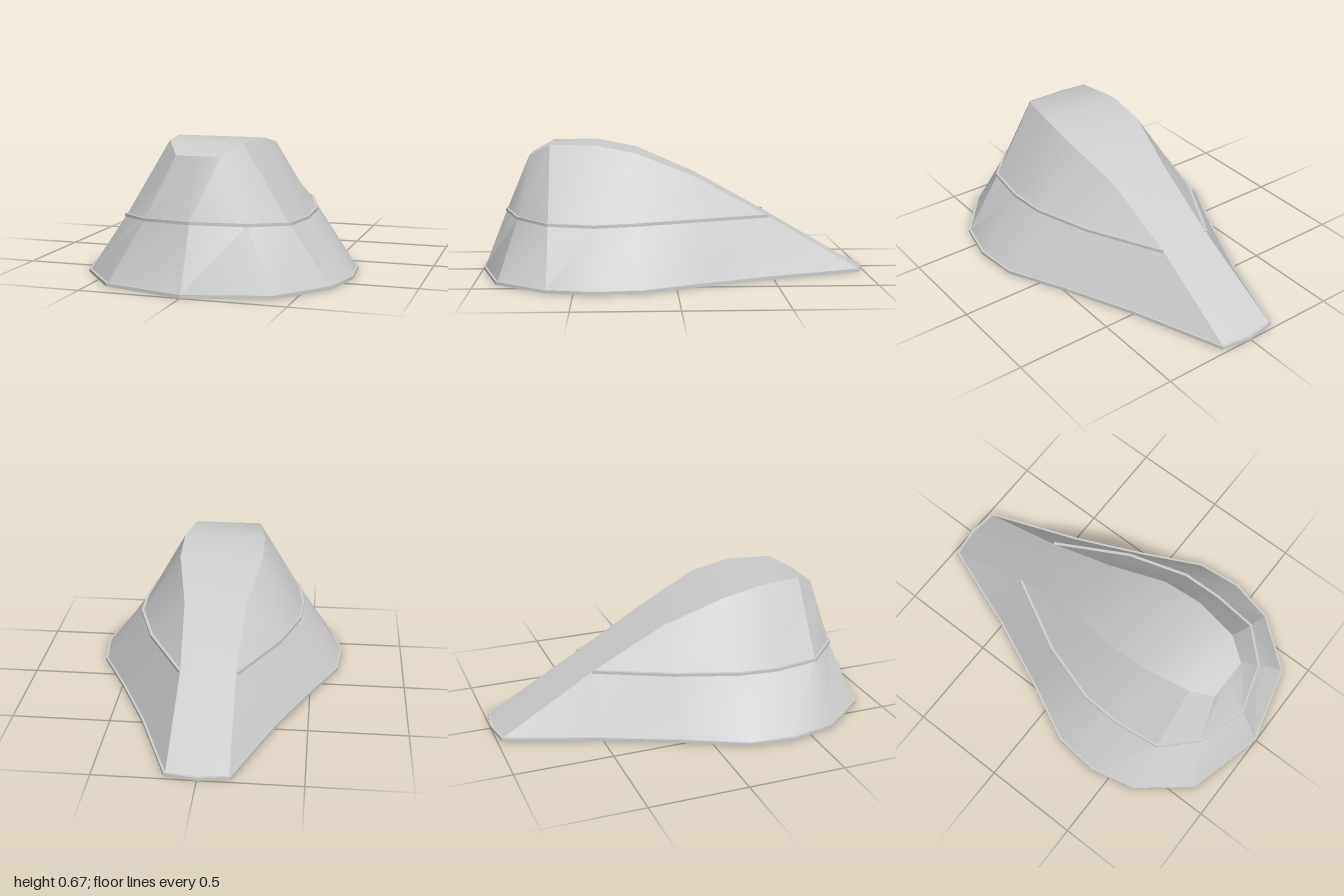
import * as THREE from 'three';
import { toCreasedNormals } from 'three/addons/utils/BufferGeometryUtils.js';

const material = new THREE.MeshStandardMaterial({ color: 0xcccccc, side: THREE.DoubleSide });
const V = (p) => new THREE.Vector3(...p);

// Half profiles [x, y, z], running from the tail to the middle of the front
const ridge = [
  [0.15, 0.012, -0.972], [0.138, 0.295, -0.49], [0.16, 0.5, -0.12], [0.22, 0.63, 0.19],
  [0.22, 0.672, 0.4], [0.18, 0.672, 0.63], [0.11, 0.613, 0.74], [0, 0.613, 0.74],
].map(V);
const seam = [
  [0.15, 0.012, -0.972], [0.138, 0.295, -0.49], [0.335, 0.303, -0.12], [0.43, 0.298, 0.19],
  [0.437, 0.29, 0.4], [0.41, 0.297, 0.63], [0.252, 0.31, 0.79], [0, 0.32, 0.868],
].map(V);
const foot = [
  [0.15, 0.012, -0.972], [0.325, 0.012, -0.5], [0.49, 0.012, -0.13], [0.638, 0.012, 0.17],
  [0.66, 0.012, 0.4], [0.607, 0.012, 0.63], [0.405, 0.012, 0.882], [0, 0.012, 0.99],
].map(V);

const flip = (v) => new THREE.Vector3(-v.x, v.y, v.z);
// Whole path: down the left side, round the front, back up the right side
const around = (half) => [...half, ...half.slice(0, -1).reverse().map(flip)];

// Surface stretched between matching points of neighbouring paths
function skin(...paths) {
  const pos = [];
  const tri = (a, b, c) => {
    if (new THREE.Triangle(a, b, c).getArea() > 1e-7) for (const v of [a, b, c]) pos.push(v.x, v.y, v.z);
  };
  for (let k = 0; k < paths.length - 1; k++) {
    const P = paths[k], Q = paths[k + 1];
    for (let i = 0; i < P.length - 1; i++) {
      tri(P[i], P[i + 1], Q[i + 1]);
      tri(P[i], Q[i + 1], Q[i]);
    }
  }
  const geo = new THREE.BufferGeometry();
  geo.setAttribute('position', new THREE.Float32BufferAttribute(pos, 3));
  return toCreasedNormals(geo, 0.5);
}

// Thin square bead following a path; inner/outer are sideways offsets, low/high are heights
function bead(path, closed, inner, outer, low, high) {
  const n = path.length;
  const at = (i) => path[closed ? (i + n) % n : Math.min(Math.max(i, 0), n - 1)];
  const offset = (o, y) => {
    const line = path.map((p, i) => {
      const t = at(i + 1).clone().sub(at(i - 1)).setY(0).normalize();
      return new THREE.Vector3(p.x + t.z * o, p.y + y, p.z - t.x * o);
    });
    if (closed) line.push(line[0]);
    return line;
  };
  const top = offset(inner, high);
  return skin(top, offset(outer, high), offset(outer, low), offset(inner, low), top);
}

export function createModel() {
  const group = new THREE.Group();
  const add = (name, geometry) => {
    const mesh = new THREE.Mesh(geometry, material);
    mesh.name = name;
    group.add(mesh);
  };

  // Roof strip from the tail tip up over the crown
  const right = ridge.slice(0, -1);
  const middle = right.map((v, i) => new THREE.Vector3(0, v.y, i ? v.z : -0.993));
  add('roofStrip', skin(right.map(flip), middle, right));

  // Sloping walls above and below the seam
  add('upperWall', skin(around(ridge), around(seam)));
  add('lowerWall', skin(around(seam), around(foot)));

  // Raised seam, ending where it meets the roof strip
  add('seamBead', bead(around(seam.slice(1)), false, -0.006, 0.009, -0.007, 0.008));

  // Rim around the open underside, including the tail tip
  add('baseRim', bead([...around(foot), new THREE.Vector3(0, 0.012, -0.993)], true, -0.005, 0.009, -0.012, 0.004));

  return group;
}
